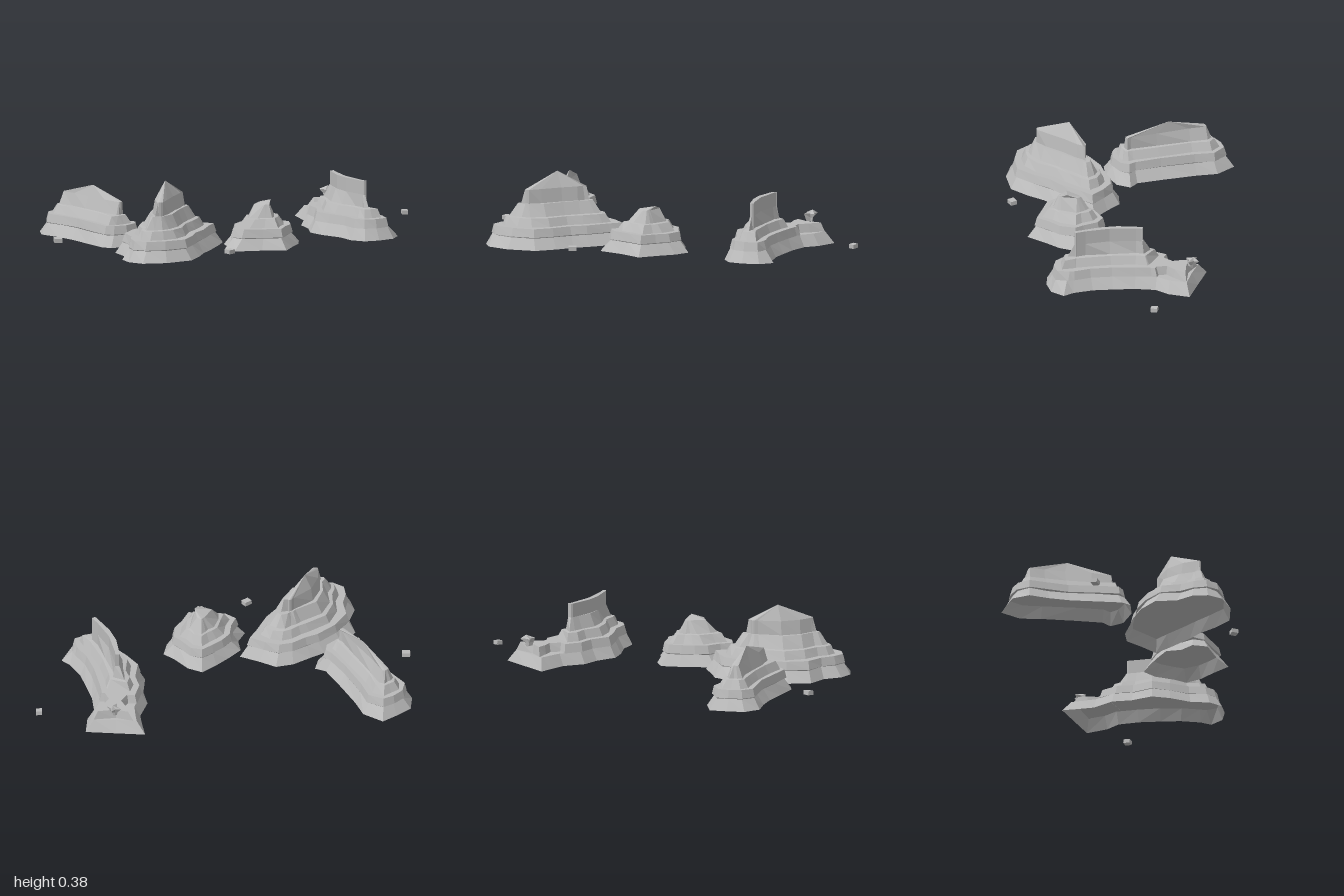
import * as THREE from 'three';

const stone = new THREE.MeshStandardMaterial({ color: 0xbababa, flatShading: true, side: THREE.DoubleSide });
stone.name = 'grey stone';

const pairs = (flat) => {
  const out = [];
  for (let i = 0; i < flat.length; i += 2) out.push(new THREE.Vector2(flat[i], flat[i + 1]));
  return out;
};

// Nearest point to p on a line made of straight pieces
function nearestOnLine(p, line) {
  let best = line[0];
  for (let i = 0; i + 1 < line.length; i++) {
    const a = line[i], d = line[i + 1].clone().sub(a);
    const t = THREE.MathUtils.clamp(p.clone().sub(a).dot(d) / d.lengthSq(), 0, 1);
    const q = a.clone().addScaledVector(d, t);
    if (q.distanceTo(p) < best.distanceTo(p)) best = q;
  }
  return best;
}

// Slides an outline point towards the ridge until it lies `inset` from the outline
function inwards(p, closed, ridge, inset) {
  const goal = nearestOnLine(p, ridge);
  let q = p.clone();
  for (let s = 0; s <= 0.93 && inset > 0; s += 0.01) {
    q = p.clone().lerp(goal, s);
    if (nearestOnLine(q, closed).distanceTo(q) >= inset) break;
  }
  return q;
}

// Terraced rock: the outline (clockwise from above) is eroded evenly at each level
// [inset, height] and closes in a peak or a flat top. Rocks on the ground have an
// open skirt, with the underside one level up.
function terracedRock(name, outline, ridge, levels, peak) {
  const pos = [];
  const closed = [...outline, outline[0]];
  const rings = levels.map(([inset, y], k) => outline.map((p, i) => {
    const wobble = inset > 0 ? 0.004 * Math.sin(i * 2.3 + (k >> 1) * 1.7) : 0;
    const q = inwards(p, closed, ridge, inset + wobble);
    return new THREE.Vector3(q.x, y, q.y);
  }));
  const tri = (...vs) => vs.forEach((v) => pos.push(v.x, v.y, v.z));
  const n = outline.length;

  // Terrace walls and ledges
  for (let k = 0; k + 1 < rings.length; k++) {
    for (let i = 0; i < n; i++) {
      const j = (i + 1) % n, lo = rings[k], hi = rings[k + 1];
      tri(lo[i], hi[i], hi[j]);
      tri(lo[i], hi[j], lo[j]);
    }
  }

  // Flat cap facing up or down
  const cap = (ring, up) => {
    const flat = ring.map((v) => new THREE.Vector2(v.x, v.z));
    for (const [a, b, c] of THREE.ShapeUtils.triangulateShape(flat, [])) {
      const area = flat[b].clone().sub(flat[a]).cross(flat[c].clone().sub(flat[a]));
      if ((area < 0) === up) tri(ring[a], ring[b], ring[c]);
      else tri(ring[a], ring[c], ring[b]);
    }
  };
  cap(rings[levels[0][1] === 0 ? 1 : 0], false);
  const top = rings[rings.length - 1];
  if (peak) {
    const apex = new THREE.Vector3(...peak);
    for (let i = 0; i < n; i++) tri(top[i], apex, top[(i + 1) % n]);
  } else cap(top, true);

  const geo = new THREE.BufferGeometry();
  geo.setAttribute('position', new THREE.Float32BufferAttribute(pos, 3));
  geo.computeVertexNormals();
  const mesh = new THREE.Mesh(geo, stone);
  mesh.name = name;
  return mesh;
}

export function createModel() {
  const model = new THREE.Group();
  model.name = 'rockFormations';

  // Long ridge at the back right
  model.add(terracedRock('longRidge', pairs([
    -0.86, -0.46, -0.75, -0.40, -0.70, -0.30, -0.60, -0.14, -0.52, -0.02, -0.46, 0, -0.47, 0.08, -0.56, 0.17,
    -0.66, 0.21, -0.71, 0.18, -0.78, 0.06, -0.85, -0.06, -0.92, -0.15, -1, -0.23, -1, -0.33, -0.93, -0.40,
  ]), pairs([-0.86, -0.29, -0.73, -0.12, -0.6, 0.06]), [
    [0, 0], [0.035, 0.06], [0.028, 0.065], [0.038, 0.11], [0.062, 0.11], [0.085, 0.155], [0.1, 0.158], [0.122, 0.225],
  ], [-0.73, 0.285, -0.13]));

  // Tallest hill at the front
  model.add(terracedRock('tallHill', pairs([
    -0.25, 0, -0.16, 0.04, -0.05, 0.08, -0.08, 0.17, -0.14, 0.32, -0.18, 0.40, -0.21, 0.50, -0.26, 0.61, -0.40, 0.68,
    -0.53, 0.69, -0.60, 0.64, -0.63, 0.56, -0.61, 0.46, -0.65, 0.35, -0.59, 0.24, -0.50, 0.15, -0.43, 0.10, -0.34, 0.03,
  ]), pairs([-0.42, 0.5, -0.38, 0.38, -0.31, 0.22]), [
    [0, 0], [0.035, 0.06], [0.028, 0.065], [0.04, 0.11], [0.078, 0.11], [0.098, 0.155],
    [0.118, 0.158], [0.148, 0.225], [0.163, 0.225], [0.173, 0.3],
  ], [-0.38, 0.385, 0.32]));

  // Small hill in the middle
  model.add(terracedRock('smallHill', pairs([
    0.14, -0.08, 0.22, -0.05, 0.30, 0.03, 0.36, 0.07, 0.35, 0.16, 0.31, 0.25, 0.27, 0.36,
    0.14, 0.35, -0.01, 0.365, -0.06, 0.30, -0.03, 0.22, -0.05, 0.14, 0.01, 0.06, 0.07, -0.01,
  ]), pairs([0.16, 0.11, 0.18, 0.2]), [
    [0, 0], [0.035, 0.06], [0.028, 0.065], [0.038, 0.11], [0.065, 0.11], [0.09, 0.155], [0.105, 0.158], [0.14, 0.225],
  ], [0.2, 0.245, 0.16]));

  // Flat-topped hill: a long low shelf carrying a shorter upper part
  const mesaOutline = pairs([
    0.40, -0.68, 0.56, -0.68, 0.72, -0.68, 0.72, -0.56, 0.69, -0.48, 0.71, -0.37, 0.75, -0.26, 0.79, -0.16,
    0.85, -0.07, 0.90, -0.03, 0.87, 0.05, 0.79, 0.10, 0.71, 0.12, 0.64, 0.08, 0.59, -0.01, 0.50, -0.09,
    0.44, -0.17, 0.44, -0.29, 0.41, -0.39, 0.44, -0.51, 0.42, -0.60,
  ]);
  model.add(terracedRock('mesaShelf', mesaOutline,
    pairs([0.56, -0.57, 0.57, -0.45, 0.6, -0.26, 0.65, -0.14, 0.73, -0.03]), [[0, 0], [0.032, 0.063]]));
  model.add(terracedRock('mesaTop', mesaOutline.slice(3, 20),
    pairs([0.575, -0.36, 0.6, -0.25, 0.65, -0.14, 0.72, -0.05]), [
      [0.028, 0.062], [0.04, 0.11], [0.072, 0.11], [0.092, 0.155], [0.112, 0.158],
      [0.138, 0.225], [0.15, 0.225], [0.16, 0.3],
    ]));

  // Pinched mound along the end of the shelf
  model.add(terracedRock('shelfMound', pairs([
    0.46, -0.65, 0.56, -0.63, 0.68, -0.65, 0.65, -0.57, 0.62, -0.52, 0.65, -0.45,
    0.48, -0.45, 0.53, -0.53, 0.50, -0.58,
  ]), pairs([0.57, -0.59, 0.575, -0.5]), [[0.001, 0.06], [0.012, 0.11]]));

  // Jagged shard perched on the mound
  const star = [];
  for (let i = 0; i < 8; i++) {
    const a = i * Math.PI / 4 + 0.3, r = i % 2 ? 0.018 : 0.042;
    star.push(new THREE.Vector2(0.57 + r * Math.cos(a), -0.652 + r * Math.sin(a)));
  }
  model.add(terracedRock('jaggedShard', star, pairs([0.57, -0.652, 0.572, -0.65]), [
    [0.009, 0.105], [0.007, 0.125], [0, 0.148],
  ], [0.575, 0.167, -0.66]));

  // Loose stones
  [[-0.94, 0.034, 0.13, 0.05], [-0.05, 0.034, 0.54, 0.75], [0.98, 0.034, -0.56, 0.05]].forEach(([x, y, z, turn]) => {
    const pebble = new THREE.Mesh(new THREE.BoxGeometry(0.043, 0.022, 0.036), stone);
    pebble.position.set(x, y, z);
    pebble.rotation.set(0.08, turn, -0.05);
    pebble.scale.x = x > 0.5 ? 0.75 : 1;
    pebble.name = 'looseStone';
    model.add(pebble);
  });

  return model;
}
